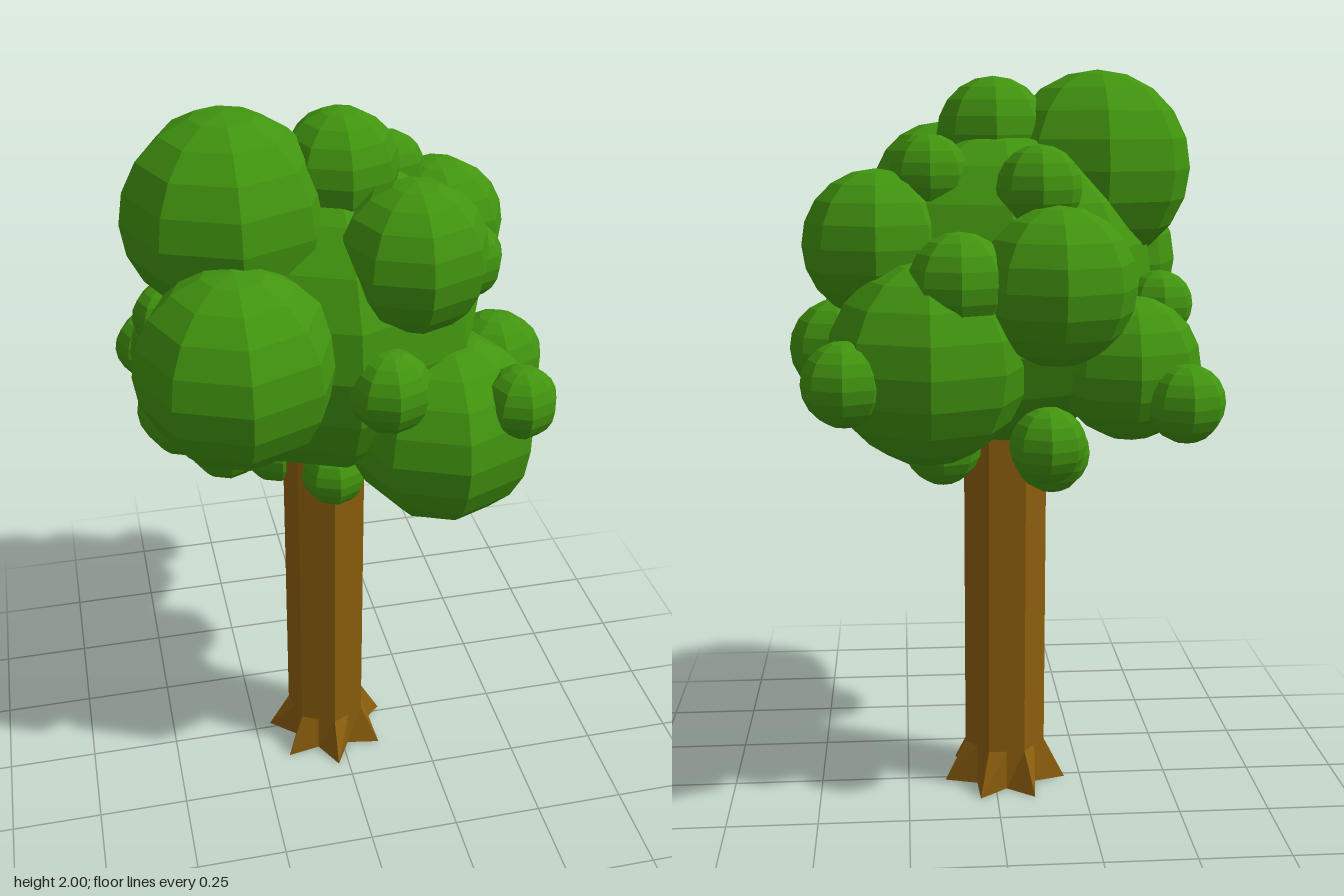
import * as THREE from 'three';

const leafGreen = new THREE.MeshStandardMaterial({ color: 0x41940f });
const barkBrown = new THREE.MeshStandardMaterial({ color: 0x8c5f0d });

const SIDES = 7;
const TRUNK_HEIGHT = 1.25;

// Flat faces: every triangle gets its own normal
function faceted(geometry) {
  const flat = geometry.toNonIndexed();
  flat.computeVertexNormals();
  return flat;
}

// Seven-sided trunk whose corners flare into pointed roots at the ground
function createTrunk() {
  const geometry = new THREE.CylinderGeometry(1, 1, TRUNK_HEIGHT, SIDES * 2, 2);
  geometry.translate(0, TRUNK_HEIGHT / 2, 0);
  const p = geometry.attributes.position;
  for (let i = 0; i < p.count; i++) {
    const x = p.getX(i), z = p.getZ(i), y = p.getY(i);
    if (Math.hypot(x, z) < 0.5) continue; // cap centres
    const step = Math.round(Math.atan2(x, z) / (Math.PI / SIDES));
    const corner = Math.abs(step) % 2 === 0;
    const level = Math.round(y / (TRUNK_HEIGHT / 2));
    let radius = 0.117 * (corner ? 1 : Math.cos(Math.PI / SIDES));
    if (level === 0) radius = corner ? 0.178 : 0.105;
    p.setXYZ(i, x * radius, [0, 0.115, TRUNK_HEIGHT][level], z * radius);
  }
  const trunk = new THREE.Mesh(faceted(geometry), barkBrown);
  trunk.name = 'trunk';
  trunk.position.set(-0.03, 0, 0.022);
  return trunk;
}

// Leaf clumps: x, y, z, radius
const crownCore = [[-0.02, 1.43, 0, 0.41]];
const largeClumps = [
  [-0.28, 1.745, 0.07, 0.257],
  [-0.305, 1.475, 0.325, 0.246],
  [0.23, 1.2, 0.243, 0.25],
  [0.185, 1.285, -0.315, 0.255],
];
const mediumClumps = [
  [0, 1.835, 0.055, 0.15],
  [0.137, 1.68, 0.25, 0.186],
  [0.31, 1.565, -0.17, 0.19],
  [0.42, 1.265, 0.055, 0.136],
  [-0.13, 1.48, -0.38, 0.195],
  [0.11, 1.49, -0.39, 0.125],
  [-0.335, 1.25, -0.22, 0.187],
  [-0.41, 1.26, 0.12, 0.125],
];
const smallClumps = [
  [0.3, 1.605, 0.135, 0.098],
  [0.383, 1.325, 0.38, 0.094],
  [0.05, 1.4, 0.385, 0.104],
  [0.39, 1.26, -0.45, 0.105],
  [-0.09, 1.71, -0.293, 0.106],
  [0.175, 1.74, -0.168, 0.1],
  [-0.455, 1.185, -0.37, 0.1],
  [-0.425, 1.4, -0.12, 0.09],
  [-0.33, 1.235, 0.25, 0.1],
  [-0.29, 1.13, 0.1, 0.09],
  [-0.18, 1.19, 0.12, 0.08],
];
// Clumps tucked under the crown around the trunk
const underClumps = [
  [-0.15, 0.99, -0.08, 0.105],
  [-0.12, 1.06, -0.27, 0.1],
  [0.15, 1.06, -0.26, 0.1],
  [-0.03, 1.015, 0.13, 0.088],
  [0.15, 1.07, -0.035, 0.09],
];

function createClumps(name, clumps, geometry) {
  const group = new THREE.Group();
  group.name = name;
  for (const [x, y, z, radius] of clumps) {
    const clump = new THREE.Mesh(geometry, leafGreen);
    clump.name = 'leafClump';
    clump.position.set(x, y, z);
    clump.scale.setScalar(radius);
    group.add(clump);
  }
  return group;
}

export function createModel() {
  const tree = new THREE.Group();
  tree.name = 'tree';
  const ball = faceted(new THREE.SphereGeometry(1, 8, 10));
  tree.add(
    createTrunk(),
    createClumps('crownCore', crownCore, ball),
    createClumps('largeClumps', largeClumps, ball),
    createClumps('mediumClumps', mediumClumps, ball),
    createClumps('smallClumps', smallClumps, ball),
    createClumps('underClumps', underClumps, ball),
  );
  return tree;
}
